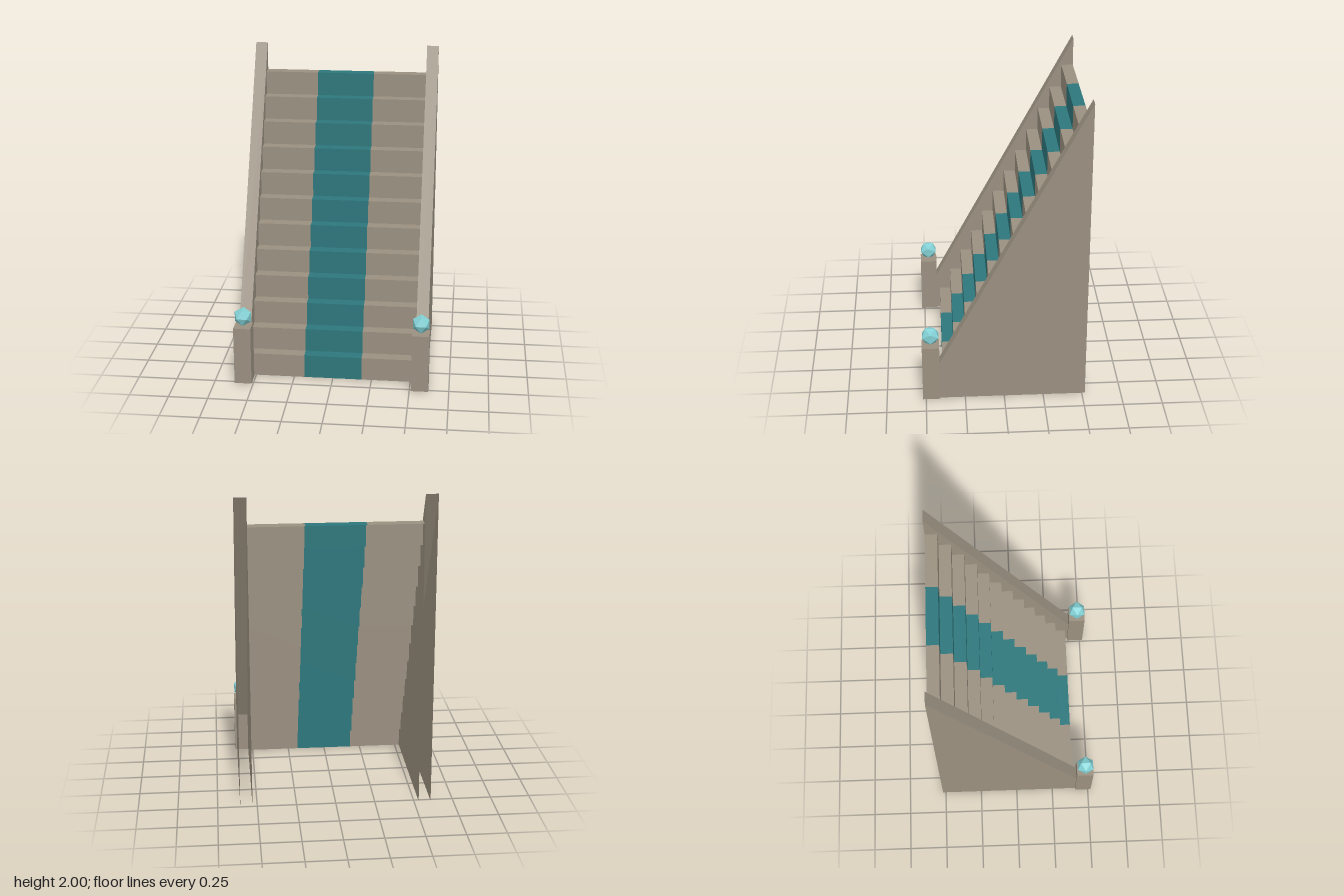
import * as THREE from 'three';

const stone = new THREE.MeshStandardMaterial({ color: 0x9a9080, side: THREE.DoubleSide });
stone.name = 'stone';
const carpet = new THREE.MeshStandardMaterial({ color: 0x2d777c, side: THREE.DoubleSide });
carpet.name = 'carpet';
const crystal = new THREE.MeshStandardMaterial({ color: 0x82d0d4, flatShading: true });
crystal.name = 'crystal';

// Folded sheet: a [z, y] profile swept from x0 to x1, with sharp folds
function ribbon(profile, x0, x1) {
  const pos = [];
  for (let i = 0; i < profile.length - 1; i++) {
    const [z0, y0] = profile[i];
    const [z1, y1] = profile[i + 1];
    pos.push(x0, y0, z0, x1, y0, z0, x1, y1, z1);
    pos.push(x0, y0, z0, x1, y1, z1, x0, y1, z1);
  }
  const g = new THREE.BufferGeometry();
  g.setAttribute('position', new THREE.Float32BufferAttribute(pos, 3));
  g.computeVertexNormals();
  return g;
}

export function createModel() {
  const model = new THREE.Group();
  model.name = 'staircase';
  const add = (name, geometry, material, parent = model) => {
    const mesh = new THREE.Mesh(geometry, material);
    mesh.name = name;
    parent.add(mesh);
    return mesh;
  };

  // Steps: open folded sheet of risers and treads, with a carpet down the middle
  const count = 12, front = 0.39, back = -0.52, top = 1.82;
  const rise = top / count, run = (front - back) / count;
  const steps = [[front, 0]];
  for (let i = 0; i < count; i++) {
    steps.push([front - i * run, (i + 1) * rise]);
    steps.push([front - (i + 1) * run, (i + 1) * rise]);
  }
  add('stepsRight', ribbon(steps, -0.53, -0.185), stone);
  add('carpetRunner', ribbon(steps, -0.185, 0.185), carpet);
  add('stepsLeft', ribbon(steps, 0.185, 0.53), stone);

  // Side walls: hollow, open at the back and underneath
  const slope = [[0.41, 0], [0.41, 0.26], [back, 2]];
  const outline = new THREE.Shape([...slope, [back, 0]].map(([z, y]) => new THREE.Vector2(z, y)));
  for (const side of [-1, 1]) {
    const label = side > 0 ? 'left' : 'right';
    const wall = new THREE.Group();
    wall.name = label + 'Wall';
    model.add(wall);
    const inner = side * 0.53, outer = side * 0.607;
    add('wallCap', ribbon(slope, Math.min(inner, outer), Math.max(inner, outer)), stone, wall);
    for (const [name, x] of [['innerPanel', inner], ['outerPanel', outer]]) {
      const panel = new THREE.ShapeGeometry(outline).rotateY(-Math.PI / 2);
      add(name, panel, stone, wall).position.x = x;
    }

    // Newel post with a floating crystal
    add(label + 'Post', new THREE.BoxGeometry(0.11, 0.38, 0.11), stone)
      .position.set(side * 0.565, 0.19, 0.465);
    const gem = add(label + 'Crystal', new THREE.IcosahedronGeometry(0.061, 0), crystal);
    gem.position.set(side * 0.565, 0.443, 0.465);
    gem.rotation.y = Math.PI / 2;
  }
  return model;
}
